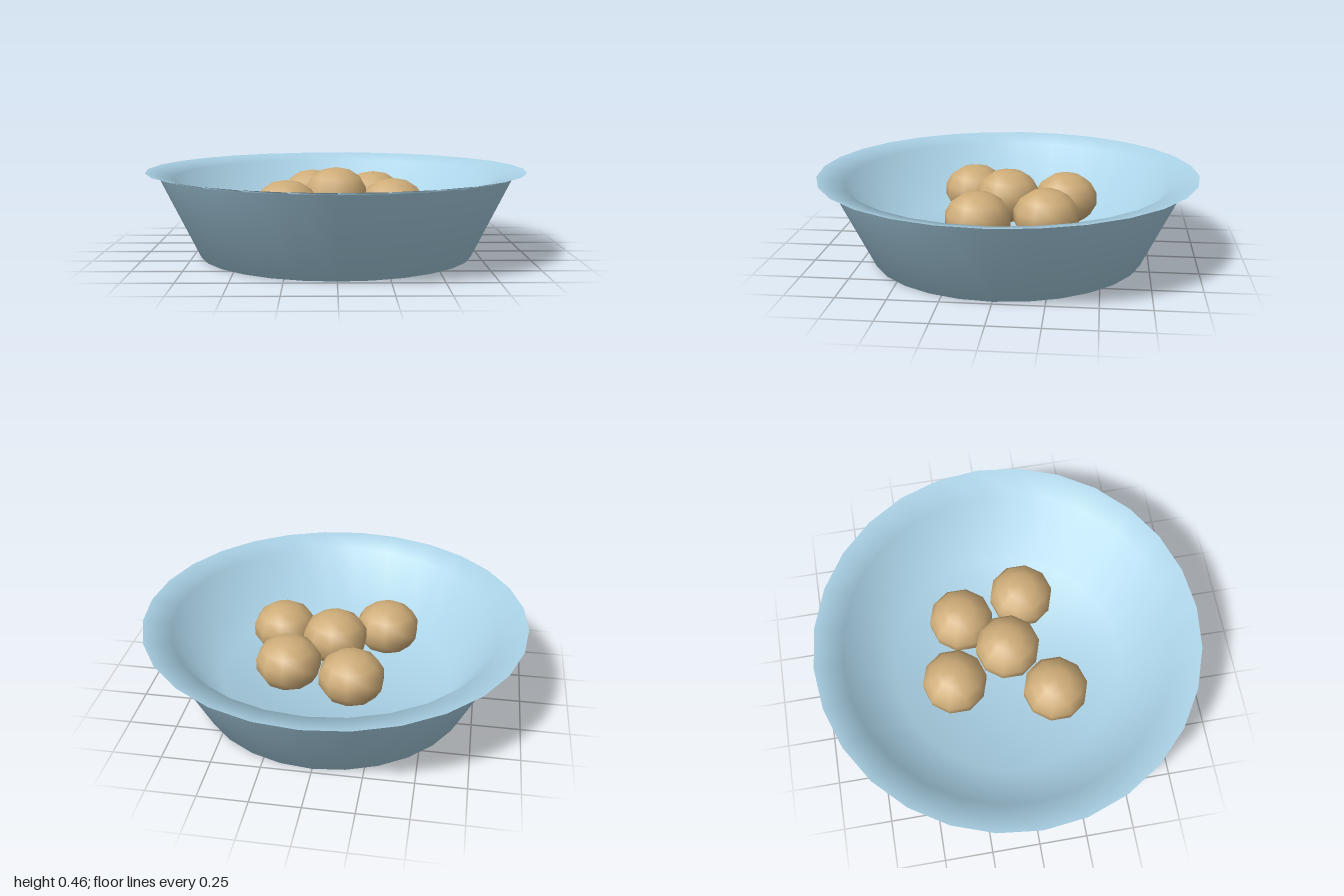
import * as THREE from 'three';

const bowlBlue = new THREE.MeshStandardMaterial({ color: 0xaad2e6, side: THREE.DoubleSide });
bowlBlue.name = 'bowlBlue';
const bunTan = new THREE.MeshStandardMaterial({ color: 0xceac78 });
bunTan.name = 'bunTan';

export function createModel() {
  const model = new THREE.Group();
  model.name = 'bowlOfBuns';

  // Thick-walled bowl in one smooth sweep: base, outer wall, lip, inner wall, floor
  const profile = [
    [0, 0], [0.22, 0], [0.722, 0],
    [0.932, 0.43], [1, 0.449],
    [0.855, 0.414], [0.62, 0.1], [0, 0.09],
  ];
  const bowl = new THREE.Mesh(
    new THREE.LatheGeometry(profile.map(([r, y]) => new THREE.Vector2(r, y)), 28),
    bowlBlue
  );
  bowl.name = 'bowl';
  model.add(bowl);

  // Slightly flattened round buns, the middle one resting higher
  const bunGeometry = new THREE.SphereGeometry(0.172, 10, 7);
  bunGeometry.rotateY(Math.PI / 2);
  bunGeometry.scale(1, 0.82, 1);
  const buns = [
    [0, 0.316, 0],
    [-0.13, 0.272, -0.303],
    [0.21, 0.272, -0.217],
    [0.297, 0.272, 0.124],
    [-0.257, 0.272, 0.21],
  ];
  buns.forEach((position, i) => {
    const bun = new THREE.Mesh(bunGeometry, bunTan);
    bun.name = `bun${i + 1}`;
    bun.position.set(...position);
    model.add(bun);
  });

  return model;
}
